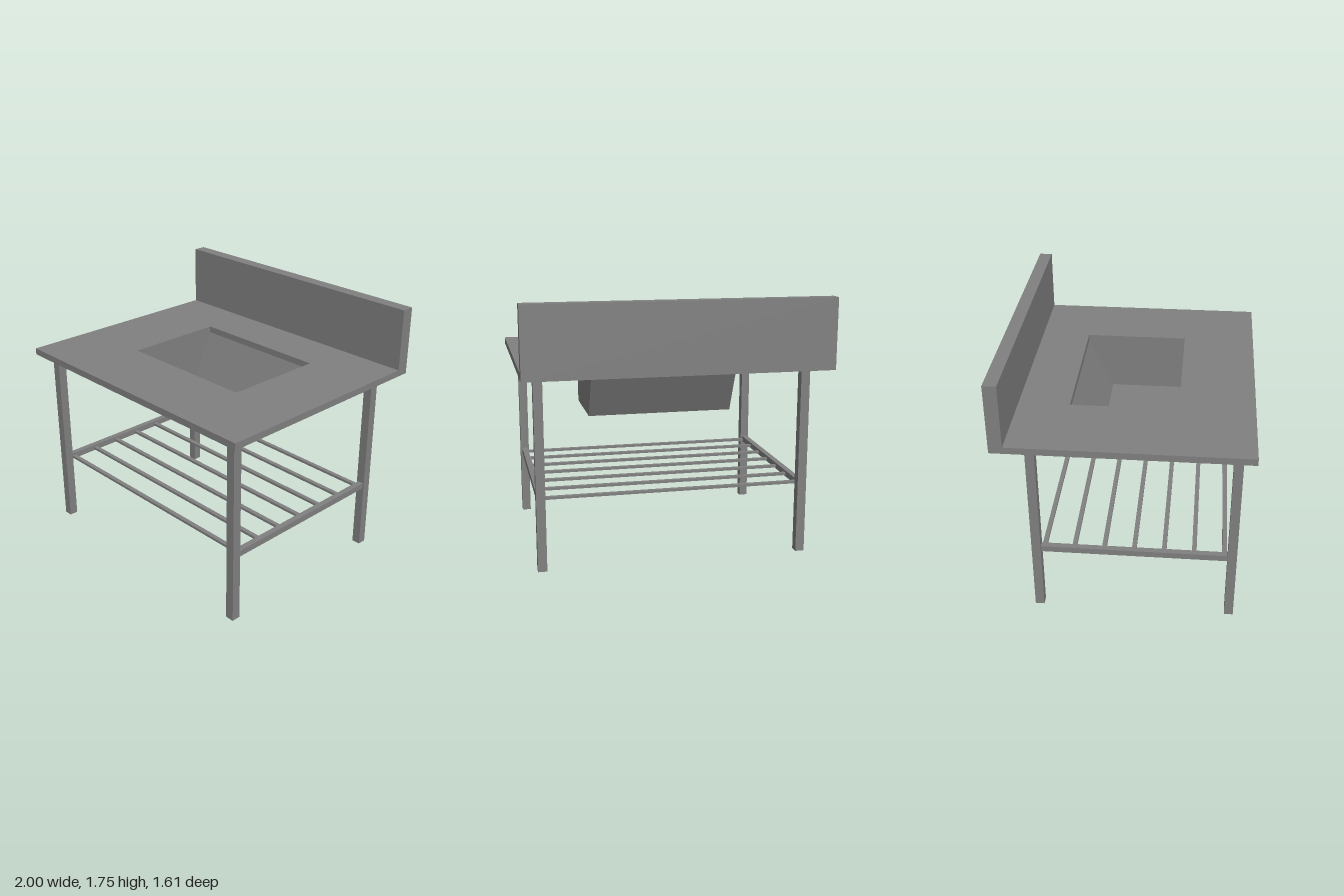
import * as THREE from 'three';

export function createModel() {
  const model = new THREE.Group();
  model.name = 'sinkTable';
  const steel = new THREE.MeshStandardMaterial({ color: 0x808080 });
  steel.name = 'steel';
  const thinSteel = new THREE.MeshStandardMaterial({ color: 0x808080, side: THREE.DoubleSide });
  thinSteel.name = 'steel sheet';

  const add = (name, geometry, material = steel) => {
    const mesh = new THREE.Mesh(geometry, material);
    mesh.name = name;
    model.add(mesh);
    return mesh;
  };
  // Box given by its limits on each axis
  const box = (name, x0, x1, y0, y1, z0, z1) =>
    add(name, new THREE.BoxGeometry(x1 - x0, y1 - y0, z1 - z0))
      .position.set((x0 + x1) / 2, (y0 + y1) / 2, (z0 + z1) / 2);

  const under = 1.29, top = 1.335;
  const bx0 = -0.475, bx1 = 0.512, bzFront = 0.315, bzBack = -0.385;

  // Worktop with basin opening (shape y becomes -z)
  const rect = (Type, x0, x1, z0, z1) => new Type([
    new THREE.Vector2(x0, -z1), new THREE.Vector2(x1, -z1),
    new THREE.Vector2(x1, -z0), new THREE.Vector2(x0, -z0),
  ]);
  const slab = rect(THREE.Shape, -1, 1, -0.72, 0.807);
  slab.holes.push(rect(THREE.Path, bx0, bx1, bzBack, bzFront));
  const worktop = new THREE.ExtrudeGeometry(slab, { depth: top - under, bevelEnabled: false });
  worktop.rotateX(-Math.PI / 2).translate(0, under, 0);
  add('worktop', worktop);

  // Backsplash
  box('backsplash', -1, 1, under, 1.755, -0.807, -0.72);

  // Open basin with a sloping back, swept from its side profile [z, y]
  const profile = [[bzFront, under], [bzFront, 0.928], [-0.213, 0.928], [bzBack, under]];
  const corner = (x, i) => [x, profile[i][1], profile[i][0]];
  const verts = [];
  const quad = (a, b, c, d) => verts.push(...a, ...b, ...c, ...a, ...c, ...d);
  for (let i = 0; i < 3; i++) {
    quad(corner(bx0, i), corner(bx0, i + 1), corner(bx1, i + 1), corner(bx1, i));
  }
  quad(corner(bx0, 3), corner(bx0, 2), corner(bx0, 1), corner(bx0, 0));
  quad(corner(bx1, 0), corner(bx1, 1), corner(bx1, 2), corner(bx1, 3));
  const basin = new THREE.BufferGeometry();
  basin.setAttribute('position', new THREE.Float32BufferAttribute(verts, 3));
  basin.computeVertexNormals();
  add('basin', basin, thinSteel);

  // Legs and the side rails between them
  for (const [side, x] of [['right', -0.875], ['left', 0.885]]) {
    box(side + 'FrontLeg', x - 0.03, x + 0.03, 0, under, 0.67, 0.73);
    box(side + 'BackLeg', x - 0.03, x + 0.03, 0, under, -0.61, -0.55);
    box(side + 'ShelfRail', x - 0.02, x + 0.02, 0.455, 0.497, -0.55, 0.67);
  }

  // Shelf slats
  const slats = 7;
  for (let i = 0; i < slats; i++) {
    const z = 0.65 - (1.18 * i) / (slats - 1);
    box('shelfSlat' + (i + 1), -0.857, 0.867, 0.465, 0.482, z - 0.015, z + 0.015);
  }
  return model;
}
